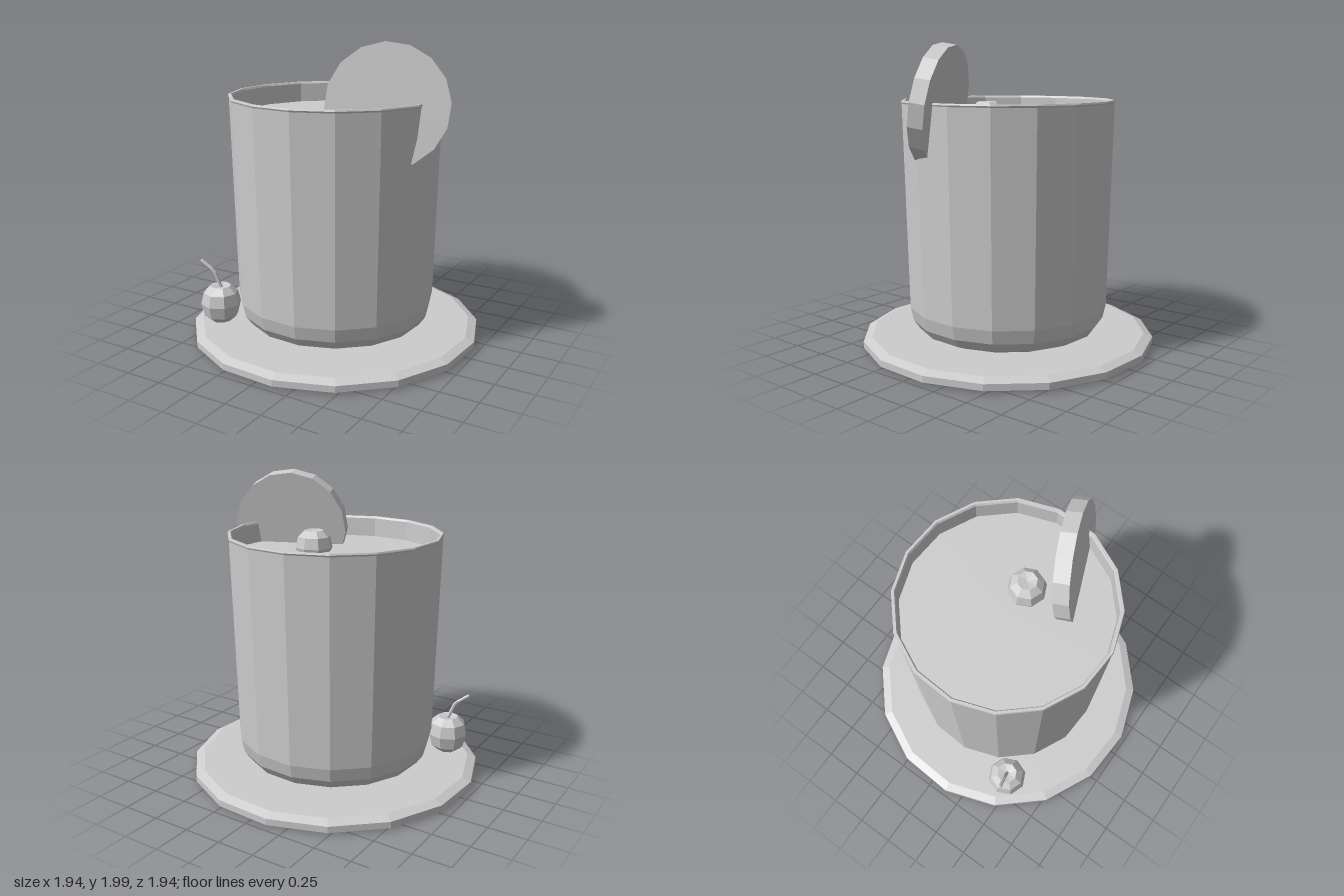
import * as THREE from 'three';

const V2 = (p) => p.map(([x, y]) => new THREE.Vector2(x, y));

export function createModel() {
  const model = new THREE.Group();
  model.name = 'drinkOnCoaster';
  const grey = new THREE.MeshStandardMaterial({ color: 0xcccccc, flatShading: true });
  grey.name = 'plain grey';

  const add = (name, geometry, parent = model) => {
    const mesh = new THREE.Mesh(geometry, grey);
    mesh.name = name;
    parent.add(mesh);
    return mesh;
  };
  const lathe = (points, sides) => new THREE.LatheGeometry(V2(points), sides);
  const turn = 0.133; // shared twist of the sixteen-sided parts

  // Bevelled coaster
  add('coaster', lathe([
    [0, 0.005], [0.95, 0.005], [0.978, 0.02], [0.978, 0.062], [0.92, 0.085], [0, 0.085],
  ], 16)).rotation.y = turn;

  // Tumbler: rounded base, outer wall, lip, inner wall and floor
  add('glass', lathe([
    [0, 0.088], [0.53, 0.09], [0.6, 0.12], [0.643, 0.18], [0.664, 0.27], [0.697, 1.615],
    [0.702, 1.625], [0.698, 1.635], [0.682, 1.635], [0.674, 1.622], [0.668, 1.4], [0.635, 0.25], [0, 0.2],
  ], 16)).rotation.y = turn;

  // Drink filling the tumbler
  add('drink', lathe([[0, 0.22], [0.63, 0.25], [0.672, 1.495], [0, 1.495]], 16)).rotation.y = turn;

  // Round citrus slice wedged over the lip
  const slice = add('citrusSlice',
    new THREE.CylinderGeometry(0.383, 0.383, 0.1, 16).rotateX(Math.PI / 2).rotateZ(0.06));
  slice.position.set(0.467, 1.613, 0.174);
  slice.rotation.set(-0.16, 0.385, 0, 'YXZ');

  // Cherries, each a faceted ball with a dimpled top
  const cherryProfile = [
    [0, -0.127], [0.065, -0.127], [0.115, -0.085], [0.136, 0], [0.118, 0.078], [0.07, 0.122], [0, 0.108],
  ];
  const cherry = (name, x, y, z, scale) => {
    const group = new THREE.Group();
    group.name = name;
    group.position.set(x, y, z);
    group.scale.setScalar(scale);
    add('cherryFruit', lathe(cherryProfile, 8), group).rotation.y = 0.04;
    model.add(group);
    return group;
  };
  cherry('floatingCherry', 0.18, 1.515, 0.02, 0.92);
  const stemmed = cherry('coasterCherry', -0.642, 0.215, 0.455, 1);

  // Bent stem in two straight pieces
  const path = new THREE.CurvePath();
  const bends = [[0.005, 0.1, -0.003], [-0.043, 0.222, 0.012], [-0.127, 0.285, 0.033]]
    .map((p) => new THREE.Vector3(...p));
  path.add(new THREE.LineCurve3(bends[0], bends[1]));
  path.add(new THREE.LineCurve3(bends[1], bends[2]));
  add('cherryStem', new THREE.TubeGeometry(path, 8, 0.012, 6), stemmed);
  const tip = add('stemTip', new THREE.SphereGeometry(0.012, 6, 4), stemmed);
  tip.position.copy(bends[2]);

  return model;
}
